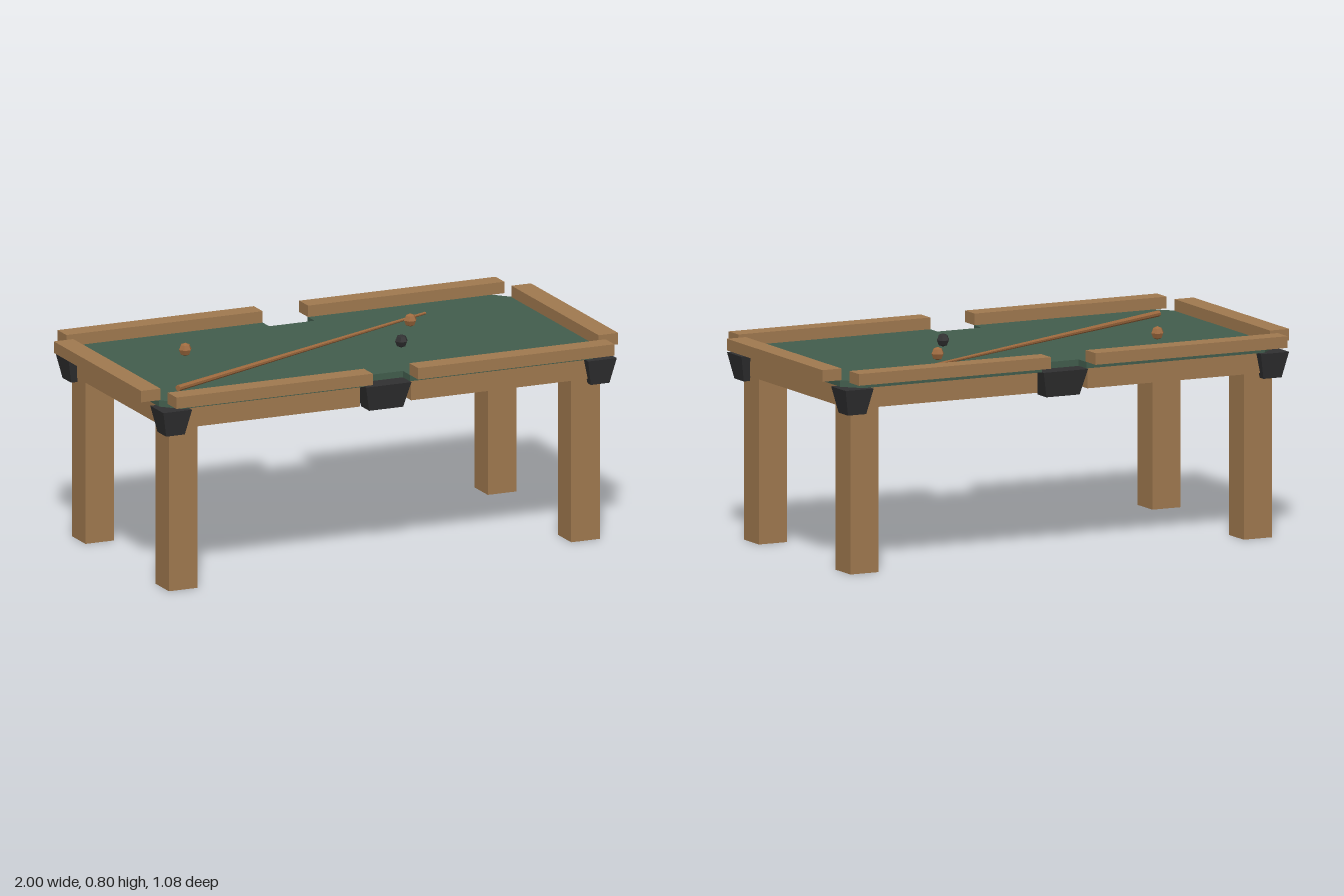
import * as THREE from 'three';

const material = (name, color) => {
  const m = new THREE.MeshStandardMaterial({ color, flatShading: true });
  m.name = name;
  return m;
};

export function createModel() {
  const wood = material('wood', 0xa0794f);
  const cueWood = material('polishedWood', 0xa06b3f);
  const felt = material('greenFelt', 0x425d4d);
  const black = material('blackLeather', 0x303031);

  const model = new THREE.Group();
  model.name = 'billiardTable';

  const add = (name, geometry, mat, x = 0, y = 0, z = 0) => {
    const mesh = new THREE.Mesh(geometry, mat);
    mesh.name = name;
    mesh.position.set(x, y, z);
    model.add(mesh);
    return mesh;
  };

  // Box given by its limits on each axis
  const block = (name, mat, [x0, x1], [y0, y1], [z0, z1]) =>
    add(name, new THREE.BoxGeometry(Math.abs(x1 - x0), y1 - y0, Math.abs(z1 - z0)), mat,
      (x0 + x1) / 2, (y0 + y1) / 2, (z0 + z1) / 2);

  // Pocket: a box that narrows towards its bottom
  const pocket = (name, w, d, inset, x, z) => {
    const h = 0.1;
    const geo = new THREE.BoxGeometry(w, h, d);
    const p = geo.attributes.position;
    for (let i = 0; i < p.count; i++) {
      if (p.getY(i) > 0) continue;
      p.setX(i, p.getX(i) - Math.sign(p.getX(i)) * inset);
      p.setZ(i, p.getZ(i) - Math.sign(p.getZ(i)) * inset);
    }
    geo.computeVertexNormals();
    add(name, geo, black, x, 0.67, z);
  };

  // Playing surface with cut corners and a notch at each middle pocket
  const quarter = [[0.925, 0.395], [0.86, 0.464], [0.095, 0.464], [0.095, 0.4]];
  const flip = (sx, sy) => quarter.map(([x, y]) => new THREE.Vector2(x * sx, y * sy));
  const outline = new THREE.Shape([
    ...flip(1, 1), ...flip(-1, 1).reverse(), ...flip(-1, -1), ...flip(1, -1).reverse(),
  ]);
  const cloth = new THREE.ExtrudeGeometry(outline, { depth: 0.025, bevelEnabled: false });
  cloth.rotateX(-Math.PI / 2);
  add('playingSurface', cloth, felt, 0, 0.72, 0);

  for (const sx of [-1, 1]) {
    // End rail and end apron
    block('endRail', wood, [sx * 0.918, sx], [0.745, 0.79], [-0.395, 0.395]);
    block('endApron', wood, [sx * 0.84, sx * 0.91], [0.64, 0.72], [-0.378, 0.378]);
    for (const sz of [-1, 1]) {
      // Half of a long side, with its leg and corner pocket
      block('sideRail', wood, [sx * 0.095, sx * 0.918], [0.745, 0.79], [sz * 0.458, sz * 0.538]);
      block('sideApron', wood, [sx * 0.107, sx * 0.86], [0.64, 0.72], [sz * 0.38, sz * 0.45]);
      block('leg', wood, [sx * 0.783, sx * 0.903], [0, 0.65], [sz * 0.317, sz * 0.438]);
      pocket('cornerPocket', 0.12, 0.12, 0.021, sx * 0.89, sz * 0.43);
    }
  }
  for (const sz of [-1, 1]) pocket('middlePocket', 0.19, 0.12, 0.024, 0, sz * 0.418);

  // Balls
  const ballGeometry = new THREE.SphereGeometry(0.026, 6, 4);
  add('ball', ballGeometry, cueWood, -0.565, 0.771, -0.145);
  add('ball', ballGeometry, cueWood, 0.39, 0.771, -0.17);
  add('darkBall', ballGeometry, black, 0.232, 0.771, 0.09);

  // Cue stick lying on the cloth, thick end at the front left of the picture plane
  const butt = new THREE.Vector3(-0.805, 0.757, 0.308);
  const tip = new THREE.Vector3(0.517, 0.75, -0.308);
  const along = tip.clone().sub(butt);
  const cue = add('cueStick', new THREE.CylinderGeometry(0.005, 0.012, along.length(), 8), cueWood);
  cue.position.copy(butt).add(tip).multiplyScalar(0.5);
  cue.quaternion.setFromUnitVectors(new THREE.Vector3(0, 1, 0), along.normalize());

  return model;
}
